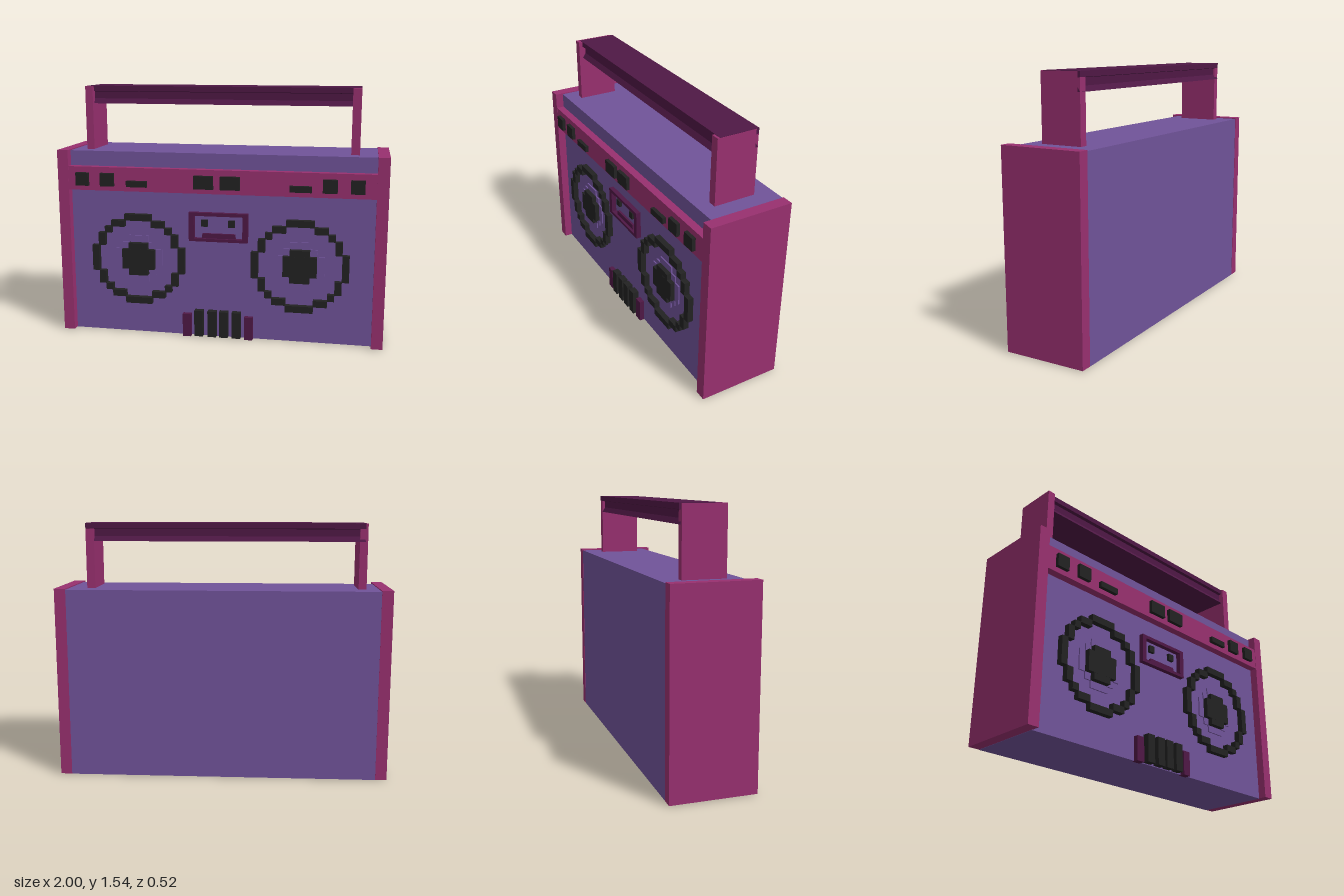
import * as THREE from 'three';

const mat = (color) => new THREE.MeshStandardMaterial({ color, flatShading: true });

export function createModel() {
  const model = new THREE.Group();
  const purple = mat(0x705399), magenta = mat(0x98306f), plum = mat(0x4f1845), black = mat(0x222222);

  // Box given by its extents on each axis
  const box = (parent, name, material, [x0, x1], [y0, y1], [z0, z1]) => {
    const mesh = new THREE.Mesh(new THREE.BoxGeometry(x1 - x0, y1 - y0, z1 - z0), material);
    mesh.position.set((x0 + x1) / 2, (y0 + y1) / 2, (z0 + z1) / 2);
    mesh.name = name;
    parent.add(mesh);
    return mesh;
  };
  const FACE = 0.19; // recessed front panel

  // Case
  box(model, 'body', purple, [-0.935, 0.935], [0.003, 1.15], [-0.258, FACE]);
  box(model, 'rightSidePanel', magenta, [-1, -0.932], [0.005, 1.156], [-0.26, 0.24]);
  box(model, 'leftSidePanel', magenta, [0.932, 1], [0.005, 1.156], [-0.26, 0.24]);
  box(model, 'controlStrip', magenta, [-0.934, 0.934], [0.913, 1.058], [FACE - 0.01, 0.238]);

  // Buttons on the control strip: x range and top edge
  const buttons = [
    [-0.88, -0.8, 1.023], [-0.725, -0.64, 1.023], [-0.56, -0.432, 0.98],
    [-0.142, -0.025, 1.023], [0.018, 0.136, 1.023],
    [0.43, 0.56, 0.98], [0.623, 0.708, 1.023], [0.783, 0.865, 1.023],
  ];
  for (const [x0, x1, top] of buttons) box(model, 'controlButton', black, [x0, x1], [0.943, top], [0.23, 0.26]);

  // Speakers: stepped rings mirrored from one quadrant
  const addRing = (parent, name, material, steps, cx, cy, depth) => {
    for (const [x0, x1, y0, y1] of steps) {
      for (const sx of x0 < 0 ? [1] : [-1, 1]) {
        for (const sy of y0 < 0 ? [1] : [-1, 1]) {
          const xs = [x0 * sx * cx, x1 * sx * cx].sort((a, b) => a - b);
          const ys = [y0 * sy * cy, y1 * sy * cy].sort((a, b) => a - b);
          box(parent, name, material, xs, ys, [0, depth]);
        }
      }
    }
  };
  const outerSteps = [[-2, 2, 6, 7], [2, 4, 5, 6], [4, 5, 4, 5], [5, 6, 2, 4], [6, 7, -2, 2]];
  const innerSteps = [[-1.5, 1.5, 2.5, 3.5], [1.5, 2.5, 1.5, 2.5], [2.5, 3.5, -1.5, 1.5]];
  for (const side of [-1, 1]) {
    const speaker = new THREE.Group();
    speaker.name = side < 0 ? 'rightSpeaker' : 'leftSpeaker';
    speaker.position.set(side < 0 ? -0.505 : 0.495, 0.483, FACE);
    addRing(speaker, 'speakerRing', black, outerSteps, 0.042, 0.0407, 0.035);
    addRing(speaker, 'innerRing', purple, innerSteps, 0.042, 0.042, 0.008);
    box(speaker, 'speakerCone', black, [-0.102, 0.102], [-0.063, 0.063], [0, 0.035]);
    box(speaker, 'speakerCone', black, [-0.06, 0.06], [-0.102, 0.102], [0, 0.0345]);
    model.add(speaker);
  }

  // Cassette door: frame, two reels and the tapered head opening
  const frameShape = new THREE.Shape();
  frameShape.moveTo(-0.182, 0.615).lineTo(0.18, 0.615).lineTo(0.18, 0.793).lineTo(-0.182, 0.793).closePath();
  const hole = new THREE.Path();
  hole.moveTo(-0.15, 0.633).lineTo(-0.15, 0.773).lineTo(0.148, 0.773).lineTo(0.148, 0.633).closePath();
  frameShape.holes.push(hole);
  const frame = new THREE.Mesh(new THREE.ExtrudeGeometry(frameShape, { depth: 0.03, bevelEnabled: false }), plum);
  frame.position.z = FACE;
  frame.name = 'cassetteFrame';
  model.add(frame);
  for (const x of [-0.088, 0.08]) box(model, 'cassetteReel', black, [x - 0.02, x + 0.02], [0.705, 0.747], [FACE, 0.208]);
  const headShape = new THREE.Shape();
  headShape.moveTo(-0.105, 0.633).lineTo(0.105, 0.633).lineTo(0.1, 0.662).lineTo(-0.1, 0.662).closePath();
  const head = new THREE.Mesh(new THREE.ExtrudeGeometry(headShape, { depth: 0.015, bevelEnabled: false }), plum);
  head.position.z = FACE;
  head.name = 'cassetteHead';
  model.add(head);

  // Tape keys along the bottom edge
  for (const x of [-0.123, -0.04, 0.033, 0.112]) box(model, 'tapeKey', black, [x - 0.027, x + 0.027], [0.008, 0.173], [FACE, 0.23]);
  for (const x of [-0.2, 0.187]) box(model, 'keyGuard', plum, [x - 0.026, x + 0.026], [0, 0.145], [FACE - 0.01, 0.22]);

  // Handle posts
  box(model, 'rightHandlePost', magenta, [-0.855, -0.808], [1.14, 1.538], [-0.147, 0.103]);
  box(model, 'leftHandlePost', magenta, [0.775, 0.825], [1.14, 1.538], [-0.147, 0.103]);

  // Grip: grooved cross-section swept across, very slightly skewed
  const half = 0.118, inset = 0.098;
  const side = [[half, 1.54], [half, 1.508], [inset, 1.504], [inset, 1.462], [half, 1.432]];
  const outline = [...side, ...side.map(([z, y]) => [-z, y]).reverse()].map(([z, y]) => new THREE.Vector2(z, y));
  const gripGeometry = new THREE.ExtrudeGeometry(new THREE.Shape(outline), { depth: 1.665, bevelEnabled: false });
  gripGeometry.translate(0, 0, -0.8325).rotateY(Math.PI / 2);
  const grip = new THREE.Mesh(gripGeometry, plum);
  grip.position.set(-0.008, 0, -0.034);
  grip.rotation.y = -0.005;
  grip.name = 'handleGrip';
  model.add(grip);

  return model;
}
